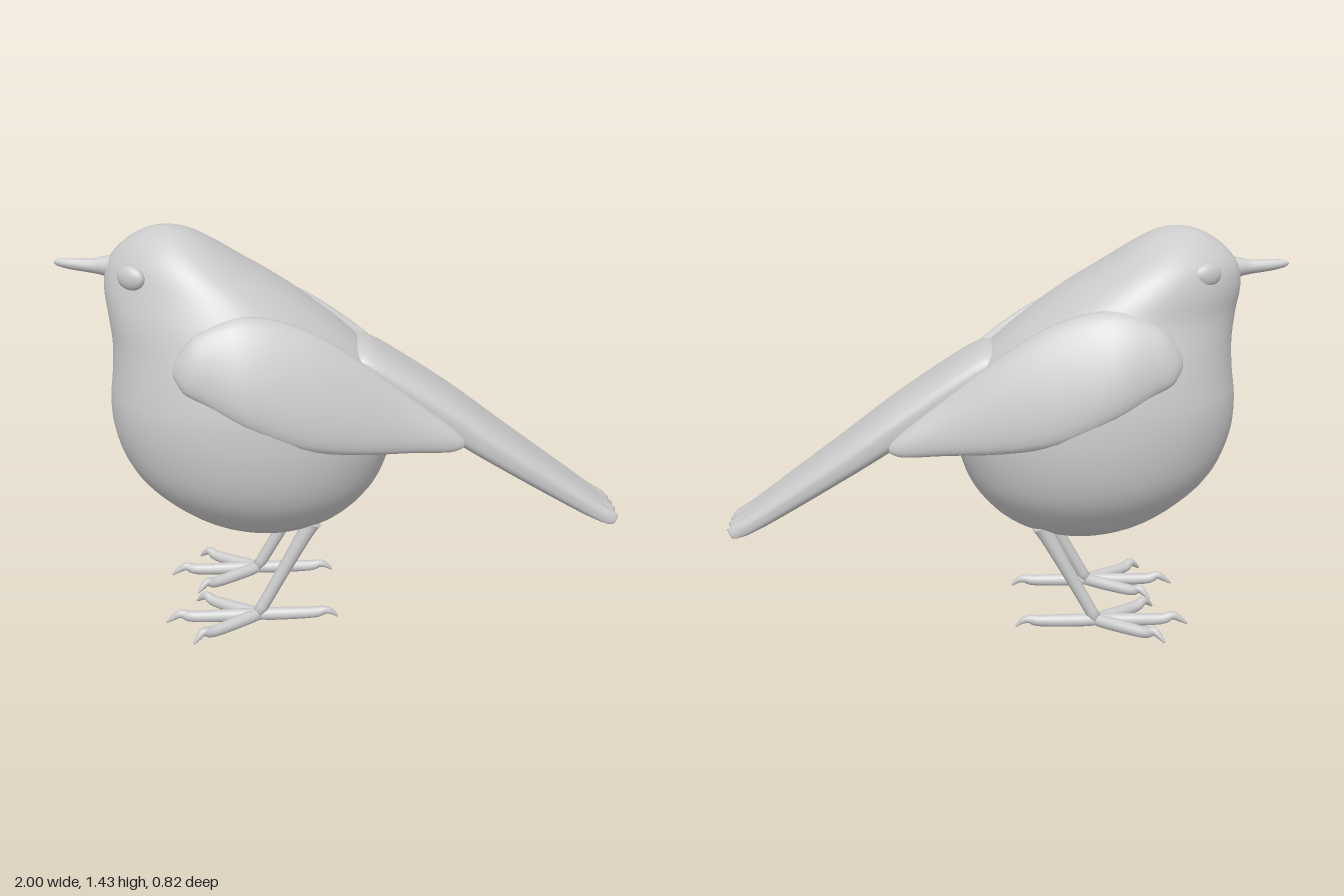
import * as THREE from 'three';

const grey = new THREE.MeshStandardMaterial({ color: 0xcccccc });
const V = (x, y, z) => new THREE.Vector3(x, y, z);

// Catmull-Rom resampling of rows of numbers
function resample(rows, steps) {
  const out = [];
  const last = rows.length - 1;
  const at = (i) => rows[Math.min(last, Math.max(0, i))];
  for (let i = 0; i < last; i++) {
    for (let s = 0; s < steps; s++) {
      const t = s / steps;
      out.push(at(i).map((b, k) => {
        const a = at(i - 1)[k], c = at(i + 1)[k], d = at(i + 2)[k];
        return b + 0.5 * t * (c - a + t * (2 * a - 5 * b + 4 * c - d + t * (3 * (b - c) + d - a)));
      }));
    }
  }
  out.push(rows[last]);
  return out;
}

// Closed smooth skin over cross-section rings, turned to face outward
function loft(rings) {
  const n = rings[0].length;
  const pos = [];
  const index = [];
  rings.forEach((r) => r.forEach((p) => pos.push(p.x, p.y, p.z)));
  for (let i = 0; i < rings.length - 1; i++) {
    for (let j = 0; j < n; j++) {
      const a = i * n + j, b = i * n + (j + 1) % n;
      index.push(a, b, b + n, a, b + n, a + n);
    }
  }
  [0, rings.length - 1].forEach((ri) => {
    const c = rings[ri].reduce((s, p) => s.add(p), V(0, 0, 0)).divideScalar(n);
    const ci = pos.length / 3;
    pos.push(c.x, c.y, c.z);
    for (let j = 0; j < n; j++) {
      const a = ri * n + j, b = ri * n + (j + 1) % n;
      index.push(...(ri ? [a, b, ci] : [b, a, ci]));
    }
  });
  const pt = (i) => V(pos[3 * i], pos[3 * i + 1], pos[3 * i + 2]);
  let volume = 0;
  for (let i = 0; i < index.length; i += 3) {
    volume += pt(index[i]).dot(pt(index[i + 1]).cross(pt(index[i + 2])));
  }
  if (volume < 0) index.reverse();
  const g = new THREE.BufferGeometry();
  g.setAttribute('position', new THREE.Float32BufferAttribute(pos, 3));
  g.setIndex(index);
  g.computeVertexNormals();
  return g;
}

// Ring of n points from a rule of the angle
const ring = (n, rule) => Array.from({ length: n }, (_, j) => rule((j / n) * Math.PI * 2));

function add(parent, name, geometry) {
  const m = new THREE.Mesh(geometry, grey);
  m.name = name;
  parent.add(m);
  return m;
}

// Tapered round limb; rows are x, y, z, radius
function limb(rows, steps = 4, sides = 12) {
  const pts = resample(rows, steps);
  return loft(pts.map((p, i) => {
    const a = pts[Math.max(0, i - 1)], b = pts[Math.min(pts.length - 1, i + 1)];
    const dir = V(b[0] - a[0], b[1] - a[1], b[2] - a[2]).normalize();
    const side = dir.clone().cross(V(0.05, 0.3, 1)).normalize();
    const up = dir.clone().cross(side);
    return ring(sides, (t) => V(p[0], p[1], p[2])
      .addScaledVector(side, p[3] * Math.cos(t)).addScaledVector(up, p[3] * Math.sin(t)));
  }));
}

// Body and head: y, front x, back x, half width, front narrowing, z shift
function bodyGeometry() {
  const rows = [
    [0.325, -0.28, -0.279, 0.001, 0, 0],
    [0.345, -0.43, -0.14, 0.13, 0, 0],
    [0.40, -0.57, -0.01, 0.235, 0, 0],
    [0.50, -0.70, 0.09, 0.33, 0, 0],
    [0.60, -0.78, 0.14, 0.38, 0, 0],
    [0.72, -0.825, 0.168, 0.403, 0, 0],
    [0.84, -0.835, 0.16, 0.405, 0, 0],
    [0.95, -0.822, 0.11, 0.39, 0.04, 0],
    [1.05, -0.816, 0.02, 0.355, 0.08, 0],
    [1.15, -0.825, -0.10, 0.308, 0.15, 0],
    [1.24, -0.835, -0.225, 0.265, 0.22, -0.01],
    [1.32, -0.82, -0.355, 0.215, 0.25, -0.015],
    [1.385, -0.765, -0.455, 0.15, 0.2, -0.01],
    [1.43, -0.69, -0.54, 0.075, 0.1, -0.005],
    [1.445, -0.62, -0.619, 0.001, 0, 0],
  ];
  return loft(resample(rows, 4).map(([y, x0, x1, w, k, dz]) => ring(56, (t) => V(
    (x0 + x1) / 2 - ((x1 - x0) / 2) * Math.cos(t), y,
    w * Math.sin(t) * (1 - k * Math.cos(t)) + dz * (1 + Math.cos(t))))));
}

// Folded wing: x, top y, top z, bottom y, bottom z, half thickness
function wingGeometry(side) {
  const rows = [
    [-0.592, 1.045, 0.315, 1.015, 0.322, 0.004],
    [-0.56, 1.10, 0.305, 0.965, 0.345, 0.025],
    [-0.50, 1.155, 0.295, 0.93, 0.36, 0.04],
    [-0.36, 1.198, 0.275, 0.85, 0.39, 0.058],
    [-0.18, 1.155, 0.255, 0.765, 0.375, 0.06],
    [0.0, 1.045, 0.245, 0.725, 0.335, 0.05],
    [0.20, 0.885, 0.225, 0.703, 0.28, 0.037],
    [0.34, 0.775, 0.222, 0.687, 0.245, 0.024],
    [0.39, 0.725, 0.226, 0.70, 0.232, 0.008],
  ];
  return loft(resample(rows, 4).map(([x, yt, zt, yb, zb, h]) => {
    const len = Math.hypot(yt - yb, zb - zt);
    const ny = (zb - zt) / len, nz = (yt - yb) / len;
    return ring(28, (t) => {
      const u = (1 - Math.cos(t)) / 2, v = h * Math.sin(t);
      return V(x, yt + (yb - yt) * u + ny * v, side * (zt + (zb - zt) * u + nz * v));
    });
  }));
}

// Tail: centre x, centre y, centre z, half width, half thickness, ruffle
function tailGeometry() {
  const rows = [
    [-0.025, 0.98, 0.01, 0.09, 0.06, 0],
    [0.0, 0.97, 0.01, 0.145, 0.078, 0],
    [0.08, 0.935, 0.01, 0.165, 0.082, 0],
    [0.33, 0.772, 0.011, 0.172, 0.078, 0],
    [0.54, 0.627, 0.014, 0.17, 0.065, 0],
    [0.86, 0.412, 0.02, 0.138, 0.045, 0],
    [0.95, 0.357, 0.024, 0.126, 0.035, 0.006],
    [0.98, 0.347, 0.024, 0.118, 0.02, 0.009],
  ];
  const pw = (v, e) => Math.sign(v) * Math.abs(v) ** e;
  return loft(resample(rows, 5).map(([x, y, z, w, h, r]) => ring(64, (t) => {
    const u = pw(Math.cos(t), 0.7), s = pw(Math.sin(t), 0.7);
    // hollow underside, rippled feather tips
    const v = h * s * (s < 0 ? 0.65 + 0.35 * u * u : 1) + r * Math.cos(u * 15);
    return V(x + 0.56 * v, y + 0.83 * v, z + w * u);
  })));
}

// Leg with three front toes and one back toe, each ending in a bent claw
function leg(side) {
  const g = new THREE.Group();
  g.name = side > 0 ? 'leftLeg' : 'rightLeg';
  const fx = -0.34, fz = 0.18 * side;
  add(g, 'shank', limb([
    [-0.135, 0.40, 0.163 * side, 0.034], [-0.16, 0.36, 0.164 * side, 0.029],
    [-0.25, 0.20, 0.171 * side, 0.024], [fx, 0.04, fz, 0.023],
  ]));
  const toes = [[-0.335, 0], [-0.23, 0.155], [-0.23, -0.15], [0.29, 0]];
  toes.forEach(([dx, dz], i) => {
    const at = (t, y, r) => [fx + dx * t, y, fz + dz * t, r];
    add(g, i < 3 ? 'frontToe' : 'backToe', limb([
      at(-0.05, 0.037, 0.02), at(0.2, 0.036, 0.024), at(0.7, 0.036, 0.021),
      at(0.83, i < 3 ? 0.05 : 0.043, 0.016), at(0.92, 0.036, 0.011), at(1, 0.016, 0.004),
    ]));
  });
  return g;
}

export function createModel() {
  const bird = new THREE.Group();
  bird.name = 'bird';
  add(bird, 'body', bodyGeometry());
  add(bird, 'tail', tailGeometry());
  add(bird, 'beak', limb([
    [-0.77, 1.295, -0.02, 0.05], [-0.83, 1.301, -0.024, 0.034],
    [-0.87, 1.302, -0.026, 0.025], [-0.94, 1.309, -0.03, 0.02],
    [-0.985, 1.314, -0.033, 0.013], [-1.0, 1.314, -0.034, 0.004],
  ]));
  // Eyes: flattened ovals lying on the head
  [['leftEye', -0.725, 0.147, -0.55], ['rightEye', -0.685, -0.192, 0.42]].forEach(([name, x, z, turn]) => {
    const eye = add(bird, name, new THREE.SphereGeometry(1, 24, 16));
    eye.scale.set(0.053, 0.041, 0.026);
    eye.position.set(x, 1.3, z);
    eye.rotation.y = turn;
  });
  [1, -1].forEach((side) => {
    add(bird, side > 0 ? 'leftWing' : 'rightWing', wingGeometry(side));
    bird.add(leg(side));
  });
  return bird;
}
